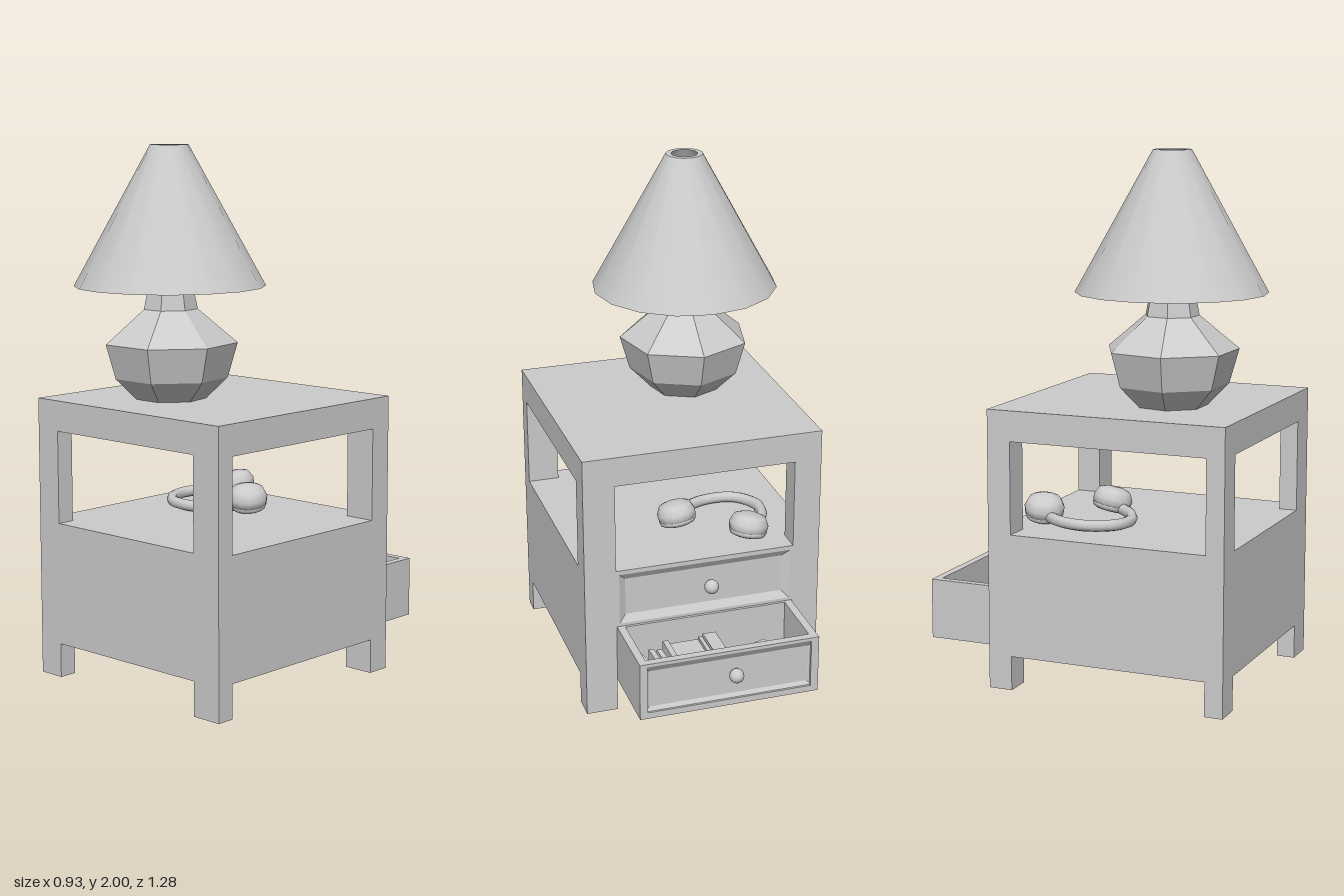
import * as THREE from 'three';
import { toCreasedNormals } from 'three/addons/utils/BufferGeometryUtils.js';

const grey = new THREE.MeshStandardMaterial({ color: 0xcccccc });
const thin = new THREE.MeshStandardMaterial({ color: 0xcccccc, side: THREE.DoubleSide });
const faceted = new THREE.MeshStandardMaterial({ color: 0xcccccc, flatShading: true, side: THREE.DoubleSide });

function add(parent, name, geometry, material = grey) {
  const mesh = new THREE.Mesh(geometry, material);
  mesh.name = name;
  parent.add(mesh);
  return mesh;
}

// Box given by its two extreme corners
function box(parent, name, [x0, y0, z0], [x1, y1, z1]) {
  const mesh = add(parent, name, new THREE.BoxGeometry(x1 - x0, y1 - y0, z1 - z0));
  mesh.position.set((x0 + x1) / 2, (y0 + y1) / 2, (z0 + z1) / 2);
  return mesh;
}

function lathe(points, sides, start = 0) {
  return new THREE.LatheGeometry(points.map(([r, y]) => new THREE.Vector2(r, y)), sides, start);
}

// Recessed drawer face looking towards -z, made of shrinking rectangles
function recessedFace(parent, name, x0, x1, y0, y1, z) {
  const rings = [[0, 0], [0.012, 0], [0.04, 0.018]].map(([m, depth]) => [
    [x0 + m, y0 + m, z + depth], [x1 - m, y0 + m, z + depth],
    [x1 - m, y1 - m, z + depth], [x0 + m, y1 - m, z + depth],
  ]);
  const pos = [];
  const quad = (a, b, c, d) => pos.push(...a, ...c, ...b, ...a, ...d, ...c);
  for (let r = 0; r < 2; r++) {
    for (let i = 0; i < 4; i++) {
      const j = (i + 1) % 4;
      quad(rings[r][i], rings[r][j], rings[r + 1][j], rings[r + 1][i]);
    }
  }
  quad(...rings[2]);
  const geometry = new THREE.BufferGeometry();
  geometry.setAttribute('position', new THREE.Float32BufferAttribute(pos, 3));
  geometry.computeVertexNormals();
  add(parent, name, geometry, thin);
}

function knob(parent, y, z) {
  add(parent, 'drawerKnob', new THREE.SphereGeometry(0.028, 16, 12)).position.set(-0.03, y, z);
}

// Book lying flat: two covers, a spine and a page block
function book(parent, name, w, h, d) {
  const group = new THREE.Group();
  group.name = name;
  const c = 0.005;
  box(group, 'lowerCover', [-w / 2, 0, -d / 2], [w / 2, c, d / 2]);
  box(group, 'upperCover', [-w / 2, h - c, -d / 2], [w / 2, h, d / 2]);
  box(group, 'spine', [-w / 2, c, d / 2 - c], [w / 2, h - c, d / 2]);
  box(group, 'pages', [-w / 2 + c, c, -d / 2 + c], [w / 2 - c, h - c, d / 2 - c]);
  parent.add(group);
  return group;
}

function buildTable() {
  const table = new THREE.Group();
  table.name = 'nightstand';
  box(table, 'tableTop', [-0.465, 0.945, -0.305], [0.465, 1.06, 0.625]);
  for (const [x0, x1] of [[-0.465, -0.36], [0.343, 0.465]]) {
    for (const [z0, z1] of [[-0.305, -0.213], [0.555, 0.625]]) {
      box(table, 'leg', [x0, 0, z0], [x1, 0.945, z1]);
    }
  }
  box(table, 'cabinetBody', [-0.465, 0.13, -0.28], [0.465, 0.595, 0.625]);
  box(table, 'shelfEdge', [-0.36, 0.588, -0.305], [0.343, 0.595, -0.28]);
  recessedFace(table, 'upperDrawerFront', -0.36, 0.343, 0.36, 0.59, -0.305);
  knob(table, 0.475, -0.314);
  return table;
}

function buildDrawer() {
  const drawer = new THREE.Group();
  drawer.name = 'openDrawer';
  const [x0, x1, y0, y1, z0, z1] = [-0.357, 0.342, 0.13, 0.36, -0.605, -0.28];
  box(drawer, 'drawerFloor', [x0, y0, z0], [x1, 0.155, z1]);
  box(drawer, 'drawerSide', [x0, y0, z0], [x0 + 0.03, y1, z1]);
  box(drawer, 'drawerSide', [x1 - 0.03, y0, z0], [x1, y1, z1]);
  box(drawer, 'drawerBack', [x0, y0, -0.316], [x1, y1, z1]);
  box(drawer, 'drawerFrontBoard', [x0, y0, -0.586], [x1, y1, -0.574]);
  box(drawer, 'drawerFrontRim', [x0, y1 - 0.008, z0], [x1, y1, -0.58]);
  recessedFace(drawer, 'drawerFront', x0, x1, y0, y1, z0);
  knob(drawer, 0.255, -0.612);

  // Books lying at the left
  const lower = book(drawer, 'lowerBook', 0.2, 0.03, 0.13);
  lower.position.set(-0.115, 0.155, -0.45);
  lower.rotation.y = -0.55;
  const upper = book(drawer, 'upperBook', 0.2, 0.045, 0.14);
  upper.position.set(-0.165, 0.185, -0.445);
  upper.rotation.y = 0.36;

  // Upright books: left edge, thickness, height
  for (const [x, t, h] of [[-0.03, 0.05, 0.15], [0.023, 0.015, 0.14], [0.04, 0.115, 0.13], [0.158, 0.022, 0.145]]) {
    box(drawer, 'uprightBook', [x, 0.155, -0.513], [x + t, 0.155 + h, -0.36]);
  }
  // Loose thin booklets: centre x, centre z, turn
  for (const [x, z, turn] of [[0.2, -0.465, 0.03], [0.228, -0.455, 0.04], [0.272, -0.453, 0.25]]) {
    const booklet = add(drawer, 'thinBooklet', new THREE.BoxGeometry(0.02, 0.13, 0.15));
    booklet.position.set(x, 0.22, z);
    booklet.rotation.y = turn;
  }
  return drawer;
}

function buildLamp() {
  const lamp = new THREE.Group();
  lamp.name = 'lamp';
  lamp.position.set(-0.11, 1.06, 0.28);
  // Faceted seven-sided base and tapering neck
  add(lamp, 'lampBase', lathe(
    [[0, 0], [0.135, 0], [0.215, 0.08], [0.252, 0.21], [0.103, 0.335], [0.078, 0.46], [0.06, 0.54], [0, 0.54]],
    7, Math.PI), faceted);
  add(lamp, 'bulb', lathe(
    [[0.025, 0.54], [0.05, 0.62], [0.05, 0.68], [0.026, 0.73], [0, 0.735]], 7, Math.PI), faceted);
  // Conical shade with an inner wall
  add(lamp, 'lampShade', toCreasedNormals(lathe(
    [[0.357, 0.42], [0.071, 0.94], [0.05, 0.94], [0.33, 0.42], [0.357, 0.42]], 16), 0.6), thin);
  return lamp;
}

function buildHeadphones() {
  const phones = new THREE.Group();
  phones.name = 'headphones';
  phones.position.y = 0.595;
  // Ear cups: squashed balls with a cushion ring
  for (const [x, z, tiltX, tiltZ] of [[-0.22, -0.19, 0.15, 0.2], [0.015, -0.01, 0.2, -0.15]]) {
    const cup = new THREE.Group();
    cup.name = 'earCup';
    cup.position.set(x, 0.057, z);
    cup.rotation.set(tiltX, 0, tiltZ);
    add(cup, 'cupShell', lathe(
      [[0, -0.04], [0.055, -0.04], [0.073, -0.02], [0.076, 0.005], [0.062, 0.035], [0.035, 0.045], [0, 0.047]], 16));
    add(cup, 'cushion', new THREE.TorusGeometry(0.055, 0.018, 8, 16).rotateX(Math.PI / 2)).position.y = -0.025;
    phones.add(cup);
  }
  // Headband: a flat bar swept along the arc between the cups
  const path = new THREE.CatmullRomCurve3([
    [-0.25, 0.03, -0.16], [-0.315, 0.03, -0.07], [-0.325, 0.028, 0.03], [-0.26, 0.025, 0.12],
    [-0.15, 0.022, 0.135], [-0.06, 0.025, 0.09], [0, 0.03, 0.02],
  ].map((p) => new THREE.Vector3(...p)));
  const band = new THREE.TubeGeometry(path, 32, 0.022, 8);
  add(phones, 'headband', band);
  return phones;
}

export function createModel() {
  const model = new THREE.Group();
  model.name = 'nightstandWithLamp';
  model.add(buildTable(), buildDrawer(), buildLamp(), buildHeadphones());
  return model;
}
